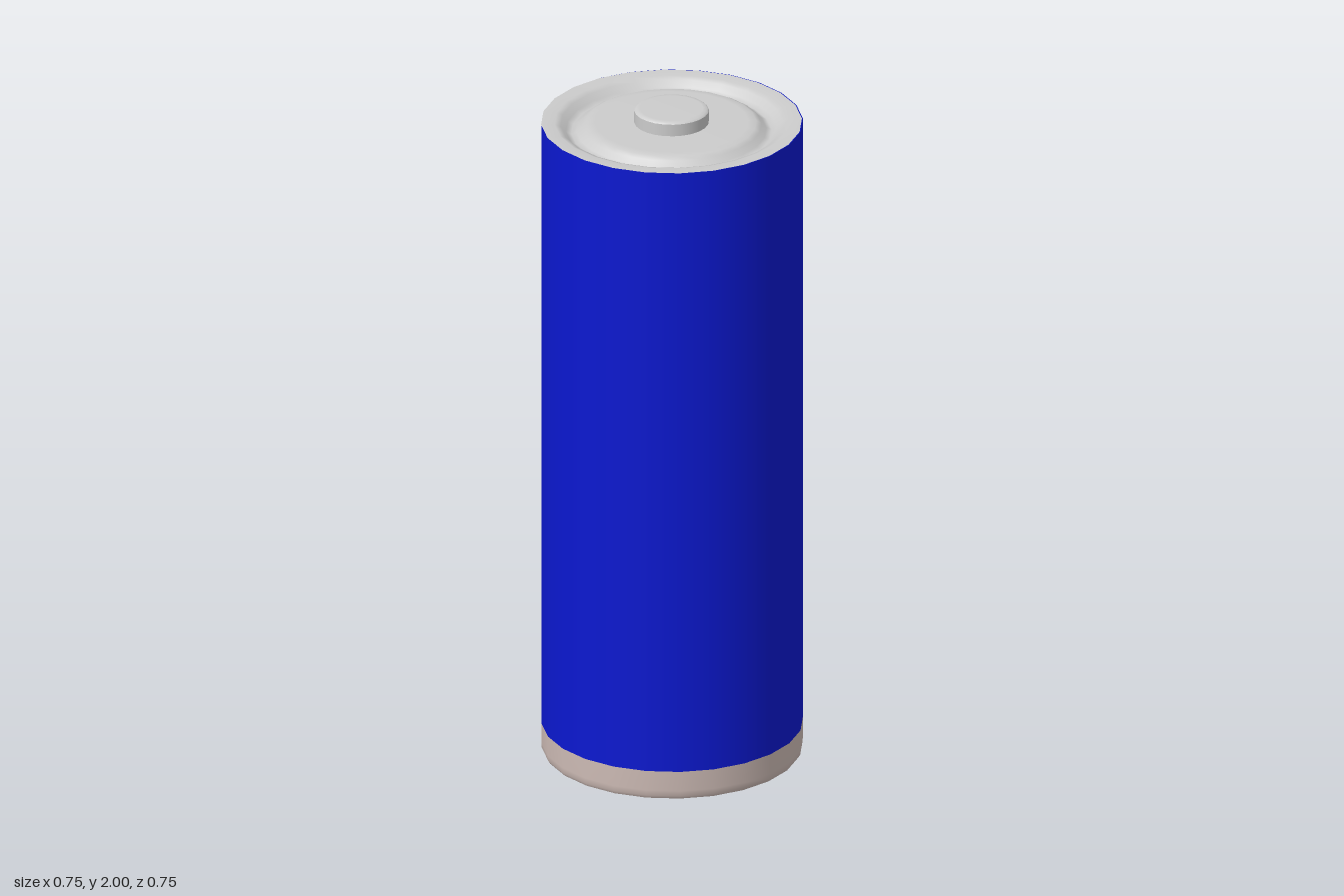
import * as THREE from 'three';

const SIDES = 24;
const START = -0.066; // turns the facets a little off the axes

export function createModel() {
  const model = new THREE.Group();
  model.name = 'batteryCell';

  const paint = (color) => new THREE.MeshStandardMaterial({ color, side: THREE.DoubleSide });
  const blue = paint(0x0b18d0);
  const pink = paint(0xccbab4);
  const grey = paint(0xcccccc);

  // Each profile is a smooth run of [radius, height]; separate runs keep crisp edges.
  // Outer walls run upward, top faces run inward, bottom faces run outward.
  function turned(name, material, profile, parent = model) {
    const points = profile.map(([r, y]) => new THREE.Vector2(r, y));
    const mesh = new THREE.Mesh(new THREE.LatheGeometry(points, SIDES, START), material);
    mesh.name = name;
    parent.add(mesh);
    return mesh;
  }

  // Wrapper and the bare band at the foot
  turned('sleeve', blue, [[0.375, 0.09], [0.375, 1.957]]);
  turned('footBand', pink, [[0.368, 0.004], [0.374, 0.014], [0.375, 0.03], [0.375, 0.09]]);

  // Positive end: flat rim, pressed groove, raised plate and contact button
  const top = new THREE.Group();
  top.name = 'positiveEnd';
  top.position.set(-0.003, 0, 0.001);
  model.add(top);
  turned('topPlate', grey, [
    [0.374, 1.958], [0.335, 1.957], [0.318, 1.951], [0.303, 1.934], [0.287, 1.926],
    [0.272, 1.932], [0.258, 1.947], [0.243, 1.955], [0.22, 1.957], [0.107, 1.958],
  ], top);
  turned('buttonWall', grey, [[0.107, 1.955], [0.107, 1.994]], top);
  turned('buttonTop', grey, [[0.107, 1.994], [0.101, 1.999], [0.09, 2], [0, 2]], top);

  // Negative end: rolled rim, groove, and shallow plate with a small central disc
  turned('bottomPlate', grey, [
    [0, 0.01], [0.065, 0.01], [0.08, 0.015], [0.095, 0.018], [0.22, 0.02], [0.262, 0.023],
    [0.278, 0.034], [0.292, 0.041], [0.305, 0.034], [0.32, 0.012], [0.335, 0.002],
    [0.35, 0], [0.368, 0.004],
  ]);

  return model;
}
